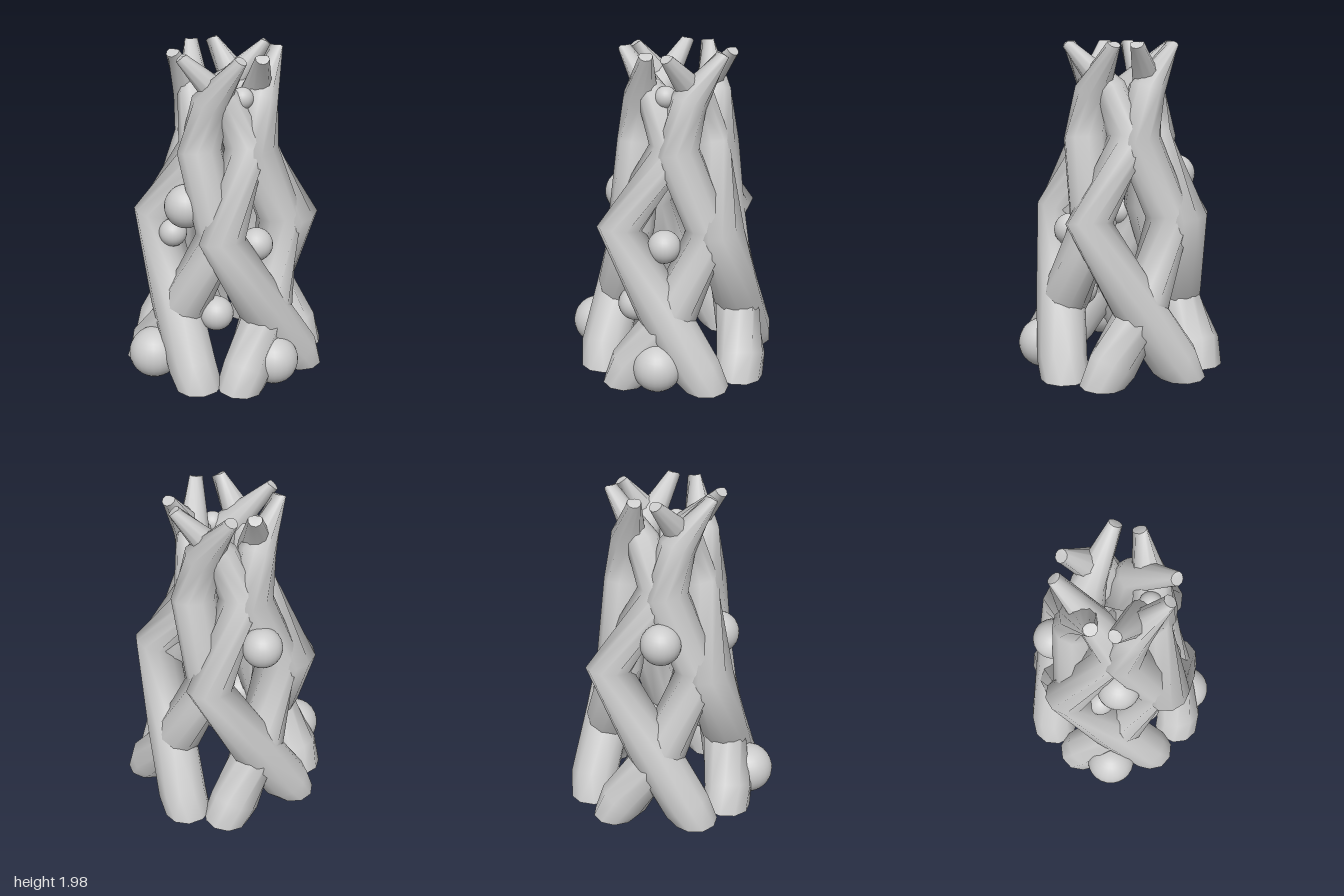
import * as THREE from 'three';

const SIDES = 10, FLOOR = 0.03, TOP = 2;
const material = new THREE.MeshStandardMaterial({ color: 0xcccccc });

// Stations of a strand: [height, distance from axis, degrees, tube radius]
// The outer strand passes over the inner one at the bulge and under it at the waist
const OUTER_STRAND = [
  [-0.02, 0.49, 85, 0.147], [0.14, 0.47, 79, 0.15], [0.5, 0.375, 49, 0.15], [0.97, 0.425, 12, 0.14],
  [1.43, 0.19, 52, 0.13], [1.72, 0.18, 17, 0.1], [1.99, 0.32, -36, 0.04],
];
const INNER_STRAND = [
  [-0.02, 0.49, -65, 0.147], [0.14, 0.47, -59, 0.15], [0.5, 0.355, -27, 0.145], [0.97, 0.33, 8, 0.14],
  [1.43, 0.23, -26, 0.135], [1.72, 0.22, -9, 0.11], [1.99, 0.31, 30, 0.04],
];

// Tapered tube with one ring per station, cut flat at the floor and the top
function strandGeometry(stations, turn) {
  const centres = stations.map(([y, d, deg]) => {
    const a = THREE.MathUtils.degToRad(deg + turn);
    return new THREE.Vector3(d * Math.sin(a), y, d * Math.cos(a));
  });
  const positions = [], index = [];
  const last = centres.length - 1;
  const push = (p) => positions.push(p.x, THREE.MathUtils.clamp(p.y, FLOOR, TOP), p.z) / 3 - 1;

  const rings = centres.map((c, i) => {
    const before = centres[Math.max(i - 1, 0)], after = centres[Math.min(i + 1, last)];
    const tangent = after.clone().sub(before).normalize();
    const out = new THREE.Vector3(c.x, 0, c.z);
    out.addScaledVector(tangent, -out.dot(tangent)).normalize();
    const side = tangent.clone().cross(out);
    const ring = [];
    for (let j = 0; j < SIDES; j++) {
      const a = (j / SIDES) * Math.PI * 2, r = stations[i][3];
      ring.push(c.clone().addScaledVector(out, r * Math.cos(a)).addScaledVector(side, r * Math.sin(a)));
    }
    return ring;
  });

  // Walls
  rings.forEach((ring) => ring.forEach(push));
  for (let i = 0; i < last; i++) {
    for (let j = 0; j < SIDES; j++) {
      const k = (j + 1) % SIDES;
      const a = i * SIDES + j, b = i * SIDES + k;
      index.push(a, b, b + SIDES, a, b + SIDES, a + SIDES);
    }
  }
  // End caps with their own vertices, so the rims stay sharp
  for (const end of [0, last]) {
    const first = positions.length / 3;
    rings[end].forEach(push);
    const middle = push(centres[end]);
    for (let j = 0; j < SIDES; j++) {
      const a = first + j, b = first + (j + 1) % SIDES;
      if (end === 0) index.push(middle, b, a);
      else index.push(middle, a, b);
    }
  }
  const geometry = new THREE.BufferGeometry();
  geometry.setAttribute('position', new THREE.Float32BufferAttribute(positions, 3));
  geometry.setIndex(index);
  geometry.computeVertexNormals();
  return geometry;
}

// Balls caught among the strands: [x, y, z, radius]
const BALLS = [
  [-0.34, 0.18, 0.42, 0.155], [0.38, 0.17, 0.31, 0.15], [0.02, 0.43, 0.3, 0.105],
  [-0.17, 1.1, 0.27, 0.13], [-0.27, 0.9, 0.22, 0.085], [0.24, 0.87, 0.2, 0.1],
  [0.135, 1.74, 0.14, 0.065], [-0.32, 1.18, -0.19, 0.12],
];

export function createModel() {
  const model = new THREE.Group();
  model.name = 'wovenColumn';

  const add = (geometry, name) => {
    const mesh = new THREE.Mesh(geometry, material);
    mesh.name = name;
    model.add(mesh);
    return mesh;
  };

  // Four pairs of interlaced strands around the axis
  for (let k = 0; k < 4; k++) {
    add(strandGeometry(OUTER_STRAND, k * 90), 'outerStrand' + (k + 1));
    add(strandGeometry(INNER_STRAND, k * 90), 'innerStrand' + (k + 1));
  }

  BALLS.forEach(([x, y, z, r], i) => {
    add(new THREE.SphereGeometry(r, 24, 16), 'ball' + (i + 1)).position.set(x, y, z);
  });
  return model;
}
